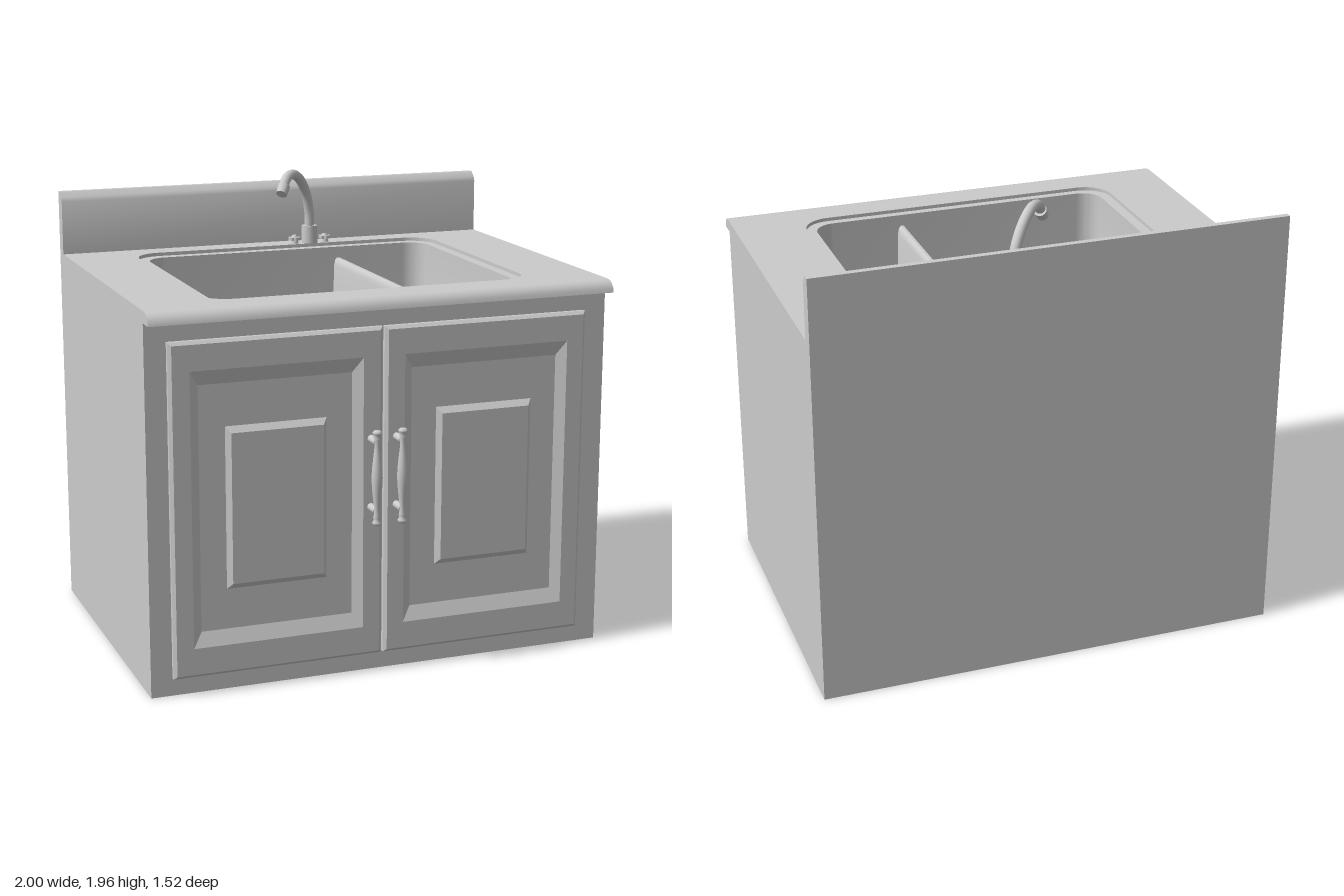
import * as THREE from 'three';
import { toCreasedNormals } from 'three/addons/utils/BufferGeometryUtils.js';

const material = new THREE.MeshStandardMaterial({ color: 0xcccccc, side: THREE.DoubleSide });
const V = (x, y, z) => new THREE.Vector3(x, y, z);

function add(parent, name, geometry, x = 0, y = 0, z = 0) {
  const mesh = new THREE.Mesh(geometry, material);
  mesh.name = name;
  mesh.position.set(x, y, z);
  parent.add(mesh);
  return mesh;
}

function box(parent, name, x0, x1, y0, y1, z0, z1) {
  const g = new THREE.BoxGeometry(x1 - x0, y1 - y0, z1 - z0);
  return add(parent, name, g, (x0 + x1) / 2, (y0 + y1) / 2, (z0 + z1) / 2);
}

// Skin between successive closed rings, the last one capped at its middle
function loft(rings, crease) {
  const pos = [];
  const tri = (...pts) => pts.forEach(p => pos.push(p.x, p.y, p.z));
  const n = rings[0].length;
  for (let k = 0; k + 1 < rings.length; k++) {
    for (let i = 0; i < n; i++) {
      const j = (i + 1) % n;
      const [a, b, c, d] = [rings[k][i], rings[k][j], rings[k + 1][j], rings[k + 1][i]];
      tri(a, b, c);
      tri(a, c, d);
    }
  }
  const last = rings[rings.length - 1];
  const mid = last.reduce((s, p) => s.add(p), V(0, 0, 0)).divideScalar(n);
  last.forEach((p, i) => tri(p, last[(i + 1) % n], mid));
  const g = new THREE.BufferGeometry();
  g.setAttribute('position', new THREE.Float32BufferAttribute(pos, 3));
  return toCreasedNormals(g, crease);
}

// Rounded outline in plan; shape y is -z
function roundedPlan(x0, x1, z0, z1, r, ShapeClass = THREE.Shape) {
  const s = new ShapeClass();
  s.absarc(x1 - r, -z0 - r, r, 0, Math.PI / 2);
  s.absarc(x0 + r, -z0 - r, r, Math.PI / 2, Math.PI);
  s.absarc(x0 + r, -z1 + r, r, Math.PI, Math.PI * 1.5);
  s.absarc(x1 - r, -z1 + r, r, Math.PI * 1.5, Math.PI * 2);
  return s;
}

function planRing(x0, x1, y, r) {
  const pts = roundedPlan(x0, x1, -0.55, 0.5, r).getPoints(6);
  if (pts[0].distanceTo(pts[pts.length - 1]) < 1e-5) pts.pop();
  return pts.map(p => V(p.x, y, -p.y));
}

// Profile of [z, y] points run along x between x0 and x1
function extrudeAlongX(profile, x0, x1) {
  const shape = new THREE.Shape(profile.map(([z, y]) => new THREE.Vector2(-z, y)));
  const g = new THREE.ExtrudeGeometry(shape, { depth: x1 - x0, bevelEnabled: false });
  g.rotateY(Math.PI / 2).translate(x0, 0, 0);
  return toCreasedNormals(g, 0.6);
}

function makeCabinet(root) {
  const g = new THREE.Group();
  g.name = 'cabinet';
  root.add(g);
  box(g, 'leftSide', 0.985, 1, 0, 1.59, -0.76, 0.64);
  box(g, 'rightSide', -1, -0.985, 0, 1.59, -0.76, 0.64);
  box(g, 'backPanel', -0.985, 0.985, 0, 1.59, -0.76, -0.745);
  box(g, 'frontPanel', -0.985, 0.985, 0, 1.59, 0.62, 0.64);
  box(g, 'floorPanel', -0.985, 0.985, 0.09, 0.11, -0.745, 0.62);
  box(g, 'middlePartition', -0.01, 0.01, 0.02, 0.09, -0.745, 0.62);
}

function makeCounter(root) {
  // Slab with an opening for the sink
  const slab = new THREE.Shape([[-1, -0.64], [1, -0.64], [1, 0.76], [-1, 0.76]]
    .map(p => new THREE.Vector2(...p)));
  slab.holes.push(roundedPlan(-0.71, 0.705, -0.595, 0.535, 0.12, THREE.Path));
  const g = new THREE.ExtrudeGeometry(slab, { depth: 0.03, bevelEnabled: false, curveSegments: 6 });
  add(root, 'countertop', toCreasedNormals(g.rotateX(-Math.PI / 2), 0.6), 0, 1.57, 0);

  add(root, 'counterLip', extrudeAlongX([[0.64, 1.55], [0.716, 1.55], [0.712, 1.568],
    [0.7, 1.585], [0.683, 1.596], [0.66, 1.6], [0.64, 1.6]], -1, 1));
  add(root, 'backsplash', extrudeAlongX([[-0.76, 1.59], [-0.7, 1.59], [-0.7, 1.835],
    [-0.708, 1.853], [-0.733, 1.876], [-0.76, 1.876]], -1, 1));
}

function makeSink(root) {
  const g = new THREE.Group();
  g.name = 'sink';
  root.add(g);
  const rim = roundedPlan(-0.71, 0.705, -0.595, 0.535, 0.12);
  rim.holes.push(roundedPlan(-0.665, 0.66, -0.55, 0.5, 0.09, THREE.Path));
  add(g, 'rim', new THREE.ShapeGeometry(rim, 6).rotateX(-Math.PI / 2), 0, 1.585, 0);

  // Bowl whose end walls curve into the floor
  const rings = [planRing(-0.665, 0.66, 1.585, 0.09)];
  for (let i = 0; i <= 6; i++) {
    const a = i / 6 * Math.PI / 2, inset = 0.09 * (1 - Math.cos(a));
    rings.push(planRing(-0.665 + inset, 0.66 - inset, 1.34 - 0.1 * Math.sin(a), 0.09 - inset * 0.7));
  }
  add(g, 'bowl', loft(rings, 0.7));

  // Divider with tapering sides and rounded top
  const half = [[0.027, 1.235], [0.02, 1.5], [0.015, 1.525], [0.006, 1.535]];
  const section = [...half, ...half.map(([x, y]) => [-x, y]).reverse()];
  const shape = new THREE.Shape(section.map(p => new THREE.Vector2(...p)));
  const divider = new THREE.ExtrudeGeometry(shape, { depth: 1.05, bevelEnabled: false });
  add(g, 'divider', toCreasedNormals(divider, 0.6), 0.252, 0, -0.55);
  add(g, 'drain', new THREE.CylinderGeometry(0.07, 0.075, 0.012, 24), -0.47, 1.244, -0.43);
}

function makeDoor(root, name, x, handleX) {
  const g = new THREE.Group();
  g.name = name;
  root.add(g);
  // Frame edge, sunken field and raised centre: [half width, bottom, top, z]
  const steps = [
    [0.45, 0.075, 1.47, 0.635], [0.45, 0.075, 1.47, 0.657], [0.437, 0.088, 1.457, 0.67],
    [0.365, 0.2, 1.35, 0.67], [0.325, 0.26, 1.287, 0.643],
    [0.215, 0.43, 1.11, 0.643], [0.195, 0.455, 1.085, 0.665],
  ];
  const rings = steps.map(([w, y0, y1, z]) =>
    [V(x - w, y0, z), V(x + w, y0, z), V(x + w, y1, z), V(x - w, y1, z)]);
  add(g, 'doorPanel', loft(rings, 0.1));

  // Turned handle on two posts
  const half = [[0.013, 0.16], [0.016, 0.168], [0.012, 0.176], [0.019, 0.186], [0.019, 0.194], [0.012, 0.2], [0, 0.2]];
  const bar = [[0.023, 0], [0.021, 0.04], [0.016, 0.09], [0.012, 0.125], ...half];
  const profile = [...bar.slice(1).map(([r, y]) => [r, -y]).reverse(), ...bar];
  const lathe = new THREE.LatheGeometry(profile.map(p => new THREE.Vector2(...p)), 16);
  add(g, 'handleBar', lathe, handleX, 0.86, 0.738);
  for (const y of [0.72, 1.01]) {
    const post = new THREE.CylinderGeometry(0.016, 0.016, 0.075, 12).rotateX(Math.PI / 2);
    add(g, 'handlePost', post, handleX, y, 0.7);
  }
}

function makeFaucet(root) {
  const g = new THREE.Group();
  g.name = 'faucet';
  root.add(g);
  const [bx, bz] = [0.138, -0.625];
  add(g, 'faucetBase', new THREE.CylinderGeometry(0.035, 0.037, 0.08, 20), bx, 1.64, bz);
  const path = [[bx, 1.66, bz], [0.134, 1.75, -0.62], [0.11, 1.84, -0.598], [0.062, 1.908, -0.548],
    [0.005, 1.938, -0.485], [-0.04, 1.925, -0.435], [-0.066, 1.885, -0.405]].map(p => V(...p));
  add(g, 'spout', new THREE.TubeGeometry(new THREE.CatmullRomCurve3(path), 32, 0.022, 14));

  // Thicker nozzle following the end of the spout
  const tip = V(-0.071, 1.872, -0.4), dir = V(-0.026, -0.04, 0.03).normalize();
  const nozzle = add(g, 'nozzle', new THREE.CylinderGeometry(0.027, 0.025, 0.045, 16));
  nozzle.position.copy(tip).addScaledVector(dir, -0.012);
  nozzle.quaternion.setFromUnitVectors(V(0, -1, 0), dir);

  // Lobed tap knobs either side
  const lobes = new THREE.Shape();
  for (let i = 0; i < 48; i++) {
    const a = i / 48 * Math.PI * 2, r = 0.026 + 0.003 * Math.cos(8 * a);
    lobes[i ? 'lineTo' : 'moveTo'](r * Math.cos(a), r * Math.sin(a));
  }
  for (const side of [-1, 1]) {
    const x = bx + side * 0.073;
    add(g, 'tapStem', new THREE.CylinderGeometry(0.014, 0.02, 0.02, 14), x, 1.609, bz);
    const cap = new THREE.ExtrudeGeometry(lobes, { depth: 0.014, bevelEnabled: false });
    add(g, 'tapKnob', toCreasedNormals(cap.rotateX(-Math.PI / 2), 0.6), x, 1.615, bz);
    add(g, 'tapTop', new THREE.CylinderGeometry(0.01, 0.016, 0.01, 14), x, 1.633, bz);
  }
}

export function createModel() {
  const root = new THREE.Group();
  root.name = 'sinkCabinet';
  makeCabinet(root);
  makeCounter(root);
  makeSink(root);
  makeDoor(root, 'rightDoor', -0.46, -0.062);
  makeDoor(root, 'leftDoor', 0.45, 0.05);
  makeFaucet(root);
  return root;
}
